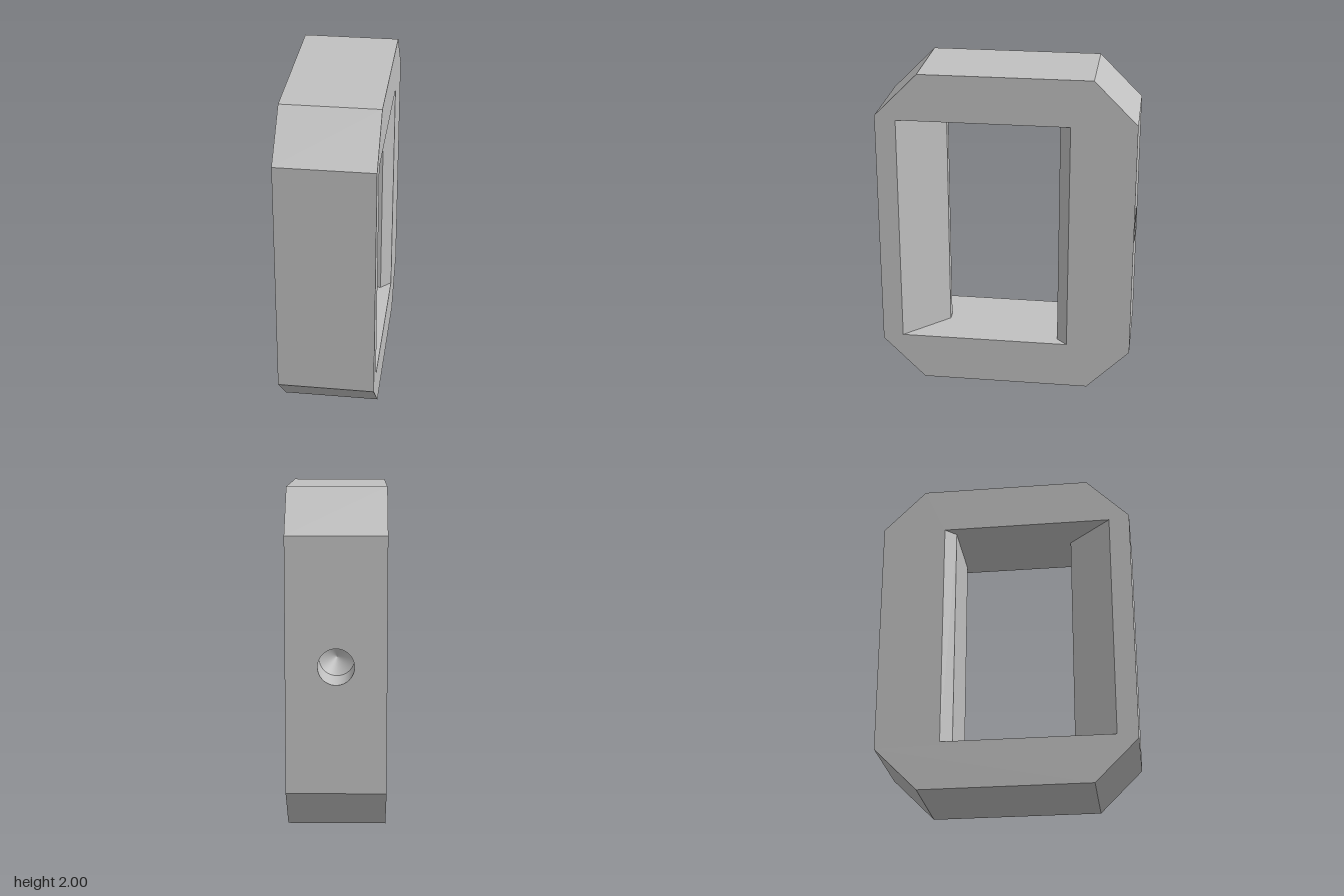
import * as THREE from 'three';
import { mergeGeometries, toCreasedNormals } from 'three/addons/utils/BufferGeometryUtils.js';

const X = 0.29;                      // half thickness
const Z = 0.775;                     // half depth
const C = 0.26;                      // corner chamfer
const LOW = 0.29, HIGH = 1.715;      // opening floor and ceiling
const FRONT = 0.65, BACK = -0.385;   // opening ends at the side faces
const BORE = 0.105;

const v2 = (list) => list.map(([a, b]) => new THREE.Vector2(a, b));

// Flat-shaded geometry from a list of four-cornered faces
function quads(faces) {
  const pos = faces.flatMap(([a, b, c, d]) => [a, b, c, a, c, d].flat());
  const g = new THREE.BufferGeometry();
  g.setAttribute('position', new THREE.Float32BufferAttribute(pos, 3));
  g.computeVertexNormals();
  return g;
}

// Face across the thickness, along an edge given as (z, y) points
const across = ([z0, y0], [z1, y1]) => [[-X, y0, z0], [X, y0, z0], [X, y1, z1], [-X, y1, z1]];

// Upright faces along a path of (x, z) points
const upright = (path) => path.slice(1).map(([x1, z1], i) => {
  const [x0, z0] = path[i];
  return [[x0, LOW, z0], [x1, LOW, z1], [x1, HIGH, z1], [x0, HIGH, z0]];
});

export function createModel() {
  const group = new THREE.Group();
  const grey = new THREE.MeshStandardMaterial({ color: 0xc0c0c0 });
  const add = (name, geometry) => {
    const mesh = new THREE.Mesh(geometry, grey);
    mesh.name = name;
    group.add(mesh);
  };

  // Chamfered outline as (z, y); the last closing edge is the back face
  const outline = [
    [-Z, C], [C - Z, 0], [Z - C, 0], [Z, C],
    [Z, 2 - C], [Z - C, 2], [C - Z, 2], [-Z, 2 - C],
  ];
  add('outerWalls', quads(outline.slice(1).map((q, i) => across(outline[i], q))));

  // Side faces with the rectangular opening
  const sides = [1, -1].map((s) => {
    const shape = new THREE.Shape(v2(outline.map(([z, y]) => [-s * z, y])));
    const hole = [[FRONT, LOW], [FRONT, HIGH], [BACK, HIGH], [BACK, LOW]];
    shape.holes.push(new THREE.Path(v2(hole.map(([z, y]) => [-s * z, y]))));
    return new THREE.ShapeGeometry(shape).rotateY(s * Math.PI / 2).translate(s * X, 0, 0);
  });
  add('sideFaces', mergeGeometries(sides));

  // Back face with the round hole
  const plate = new THREE.Shape(v2([[-X, C], [X, C], [X, 2 - C], [-X, 2 - C]]));
  plate.holes.push(new THREE.Path().absarc(0, 1, BORE, 0, Math.PI * 2, true));
  add('backFace', new THREE.ShapeGeometry(plate, 24).rotateY(Math.PI).translate(0, 0, -Z));

  // Blind drilled hole with a conical tip, facing inward
  const bore = new THREE.LatheGeometry(v2([[0, 0.34], [BORE, 0.28], [BORE, 0]]), 48);
  bore.rotateX(Math.PI / 2).translate(0, 1, -Z);
  add('drilledHole', toCreasedNormals(bore, 0.5));

  // Floor and ceiling of the opening
  add('openingFloorAndCeiling', quads([
    across([FRONT, LOW], [BACK, LOW]),
    across([BACK, HIGH], [FRONT, HIGH]),
  ]));

  // Front wall tapers to a narrow flat ridge
  add('frontWedge', quads(upright([[X, FRONT], [0.03, 0.39], [-0.03, 0.39], [-X, FRONT]])));

  // Back wall is flat with small chamfers
  add('backPad', quads(upright([[-X, BACK], [-0.225, -0.32], [0.225, -0.32], [X, BACK]])));

  return group;
}
